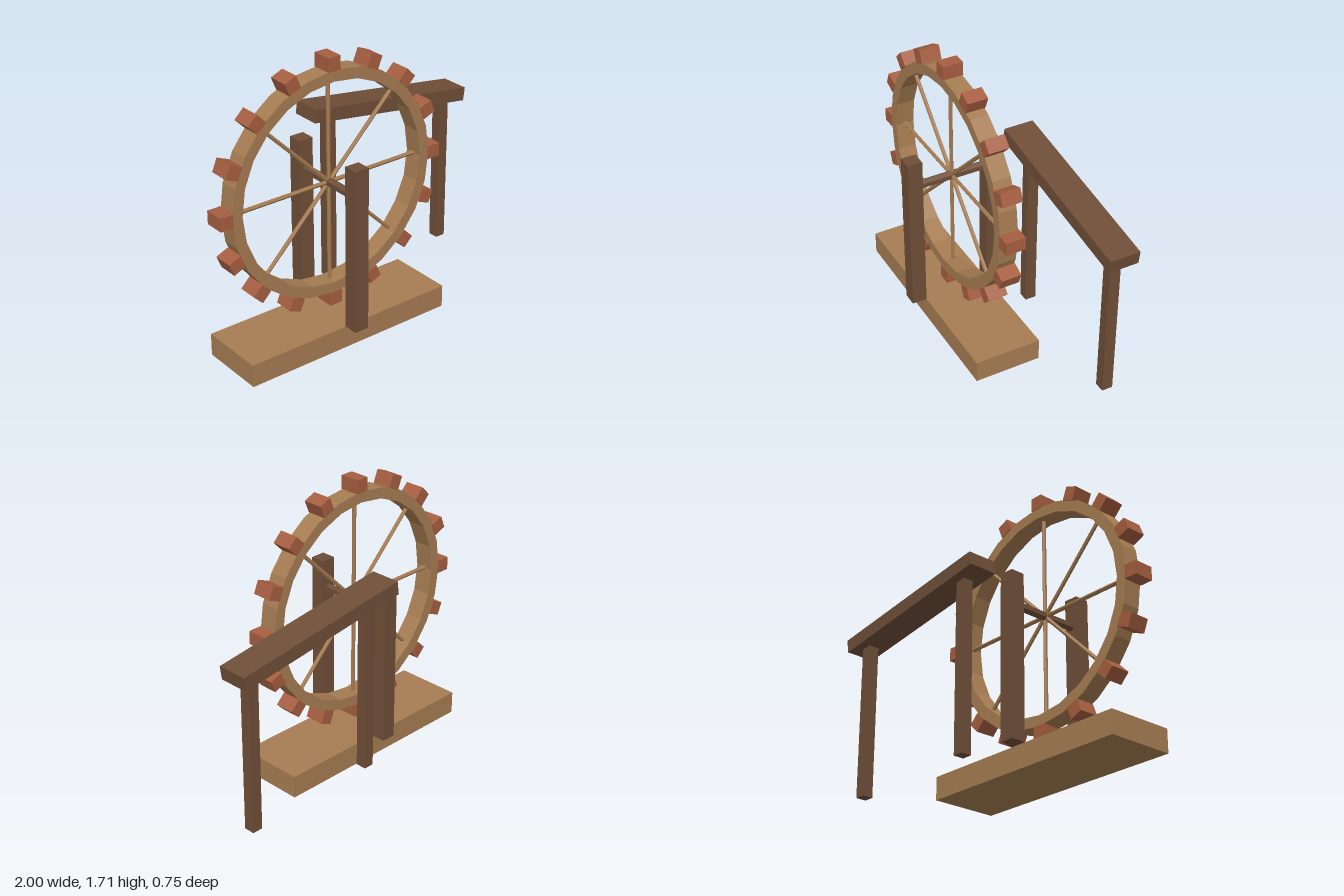
import * as THREE from 'three';

const material = (name, color) => {
  const m = new THREE.MeshStandardMaterial({ color, flatShading: true });
  m.name = name;
  return m;
};

export function createModel() {
  const lightWood = material('light wood', 0xa67c52);
  const darkWood = material('dark wood', 0x6f4e37);
  const redWood = material('red wood', 0xa65e40);

  const model = new THREE.Group();
  model.name = 'waterWheel';

  const add = (parent, name, geometry, mat, x = 0, y = 0, z = 0) => {
    const mesh = new THREE.Mesh(geometry, mat);
    mesh.name = name;
    mesh.position.set(x, y, z);
    parent.add(mesh);
    return mesh;
  };
  const box = (w, h, d) => new THREE.BoxGeometry(w, h, d);

  const wheelX = -0.25, wheelY = 0.955, wheelZ = 0.08;

  // Base slab with a post against its front and back faces
  add(model, 'base', box(1.36, 0.137, 0.408), lightWood, wheelX, 0.0685, wheelZ);
  for (const [name, side] of [['frontPost', 1], ['backPost', -1]]) {
    add(model, name, box(0.09, 0.997, 0.09), darkWood, wheelX, 0.6375, wheelZ + side * 0.249);
  }

  // Wheel, turning about z
  const wheel = new THREE.Group();
  wheel.name = 'wheel';
  wheel.position.set(wheelX, wheelY, wheelZ);
  model.add(wheel);

  // Rim: 24-sided ring
  const ringPoints = (radius) => Array.from({ length: 24 }, (_, i) => {
    const a = (i / 24) * Math.PI * 2;
    return new THREE.Vector2(Math.cos(a) * radius, Math.sin(a) * radius);
  });
  const ring = new THREE.Shape(ringPoints(0.675));
  ring.holes.push(new THREE.Path(ringPoints(0.61).reverse()));
  const rim = new THREE.ExtrudeGeometry(ring, { depth: 0.112, bevelEnabled: false });
  rim.translate(0, 0, -0.056);
  add(wheel, 'rim', rim, lightWood);

  // Axle between the posts
  const axle = new THREE.CylinderGeometry(0.027, 0.027, 0.42, 6);
  axle.rotateX(Math.PI / 2);
  add(wheel, 'axle', axle, darkWood);

  // Spokes
  const spoke = new THREE.CylinderGeometry(0.012, 0.012, 0.615, 6);
  spoke.translate(0, 0.3075, 0);
  for (let i = 0; i < 8; i++) {
    add(wheel, 'spoke', spoke, lightWood).rotation.z = (i * Math.PI) / 4;
  }

  // Paddles around the rim
  const paddle = box(0.08, 0.082, 0.122);
  paddle.translate(0, 0.711, 0);
  for (let i = 0; i < 16; i++) {
    add(wheel, 'paddle', paddle, redWood).rotation.z = (i * Math.PI) / 8;
  }

  // Sloping flume on two legs behind the wheel
  const flumeZ = -0.283;
  add(model, 'flume', box(1.135, 0.082, 0.182), darkWood, 0.4325, 1.137, flumeZ).rotation.z = -0.14;
  for (const [name, x, bottom, top] of [
    ['innerFlumeLeg', 0.023, 0.112, 1.18],
    ['outerFlumeLeg', 0.885, 0.093, 1.06],
  ]) {
    add(model, name, box(0.064, top - bottom, 0.066), darkWood, x, (top + bottom) / 2, flumeZ);
  }

  return model;
}
